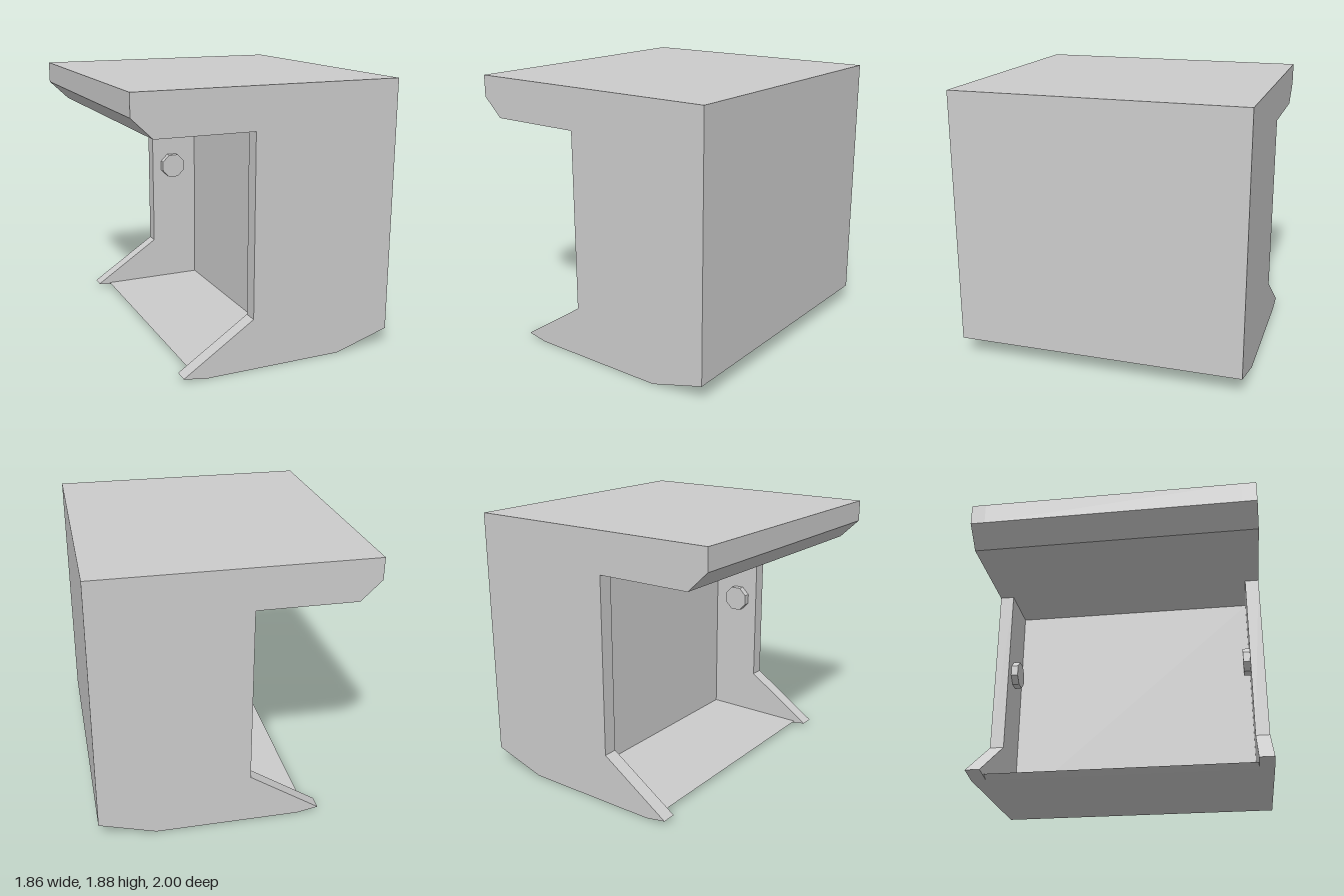
import * as THREE from 'three';

const material = new THREE.MeshStandardMaterial({ color: 0xcccccc, flatShading: true });

// Extrude an x/y outline along z, starting at z0
function slab(name, points, z0, depth) {
  const shape = new THREE.Shape(points.map(([x, y]) => new THREE.Vector2(x, y)));
  const geometry = new THREE.ExtrudeGeometry(shape, { depth, bevelEnabled: false });
  geometry.translate(0, 0, z0);
  const mesh = new THREE.Mesh(geometry, material);
  mesh.name = name;
  return mesh;
}

export function createModel() {
  const group = new THREE.Group();
  group.name = 'cabinet';
  const T = 0.1; // side panel thickness

  // Overhanging top with a chamfered lip
  const top = [[-0.93, 1.885], [-0.93, 1.735], [-0.79, 1.6]];
  // Underside and closed rear side
  const base = [[-0.46, 0], [0.54, 0], [0.93, 0.115], [0.93, 1.885]];

  // Roof, back wall and thin floor between the panels
  const core = [...top, [0.26, 1.6], [0.26, 0.025], [-0.52, 0.025], ...base];
  group.add(slab('roofBackAndFloor', core, -1 + T, 2 - 2 * T));

  // Side panels with a notch and a sloping toe
  const side = [...top, [-0.115, 1.6], [-0.115, 0.355], [-0.61, 0.027], ...base];
  for (const s of [1, -1]) {
    group.add(slab(s > 0 ? 'frontSidePanel' : 'rearSidePanel', side, s > 0 ? 1 - T : -1, T));

    // Small faceted boss on the inner face of each panel
    const boss = new THREE.Mesh(new THREE.CylinderGeometry(0.1, 0.1, 0.05, 8), material);
    boss.name = 'innerBoss';
    boss.rotation.set(Math.PI / 2, Math.PI / 8, 0);
    boss.position.set(0.05, 1.0, s * (1 - T - 0.025));
    group.add(boss);
  }
  return group;
}
